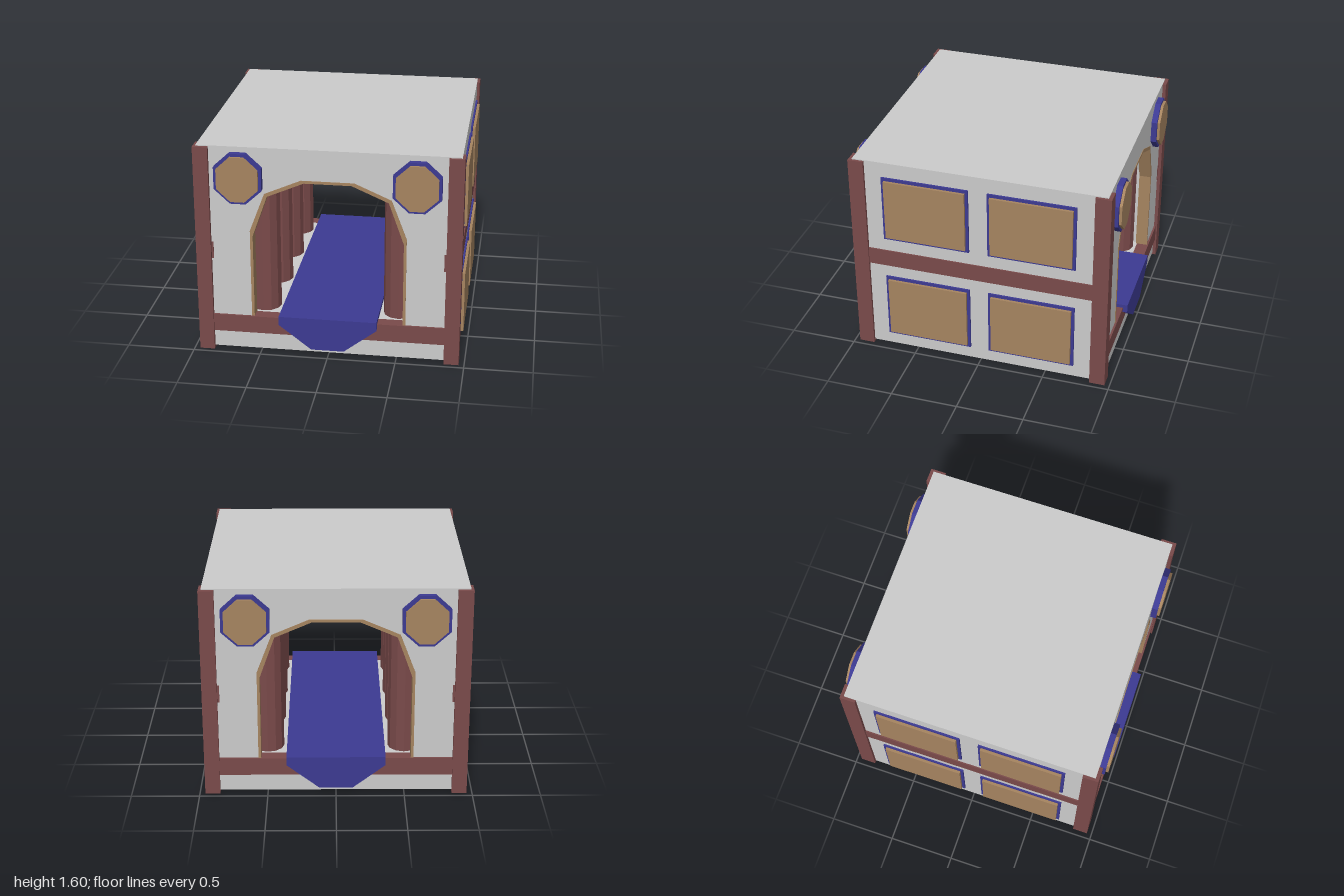
import * as THREE from 'three';

const mat = (color) => new THREE.MeshStandardMaterial({ color, flatShading: true });

export function createModel() {
  const root = new THREE.Group();
  const stone = mat(0xcccccc), wood = mat(0x7a4a4a), blue = mat(0x3c3a92), tan = mat(0xa68460);

  const add = (name, geometry, material) => {
    const mesh = new THREE.Mesh(geometry, material);
    mesh.name = name;
    root.add(mesh);
    return mesh;
  };
  // Box given by its minimum and maximum on each axis
  const box = (name, material, x0, x1, y0, y1, z0, z1) => {
    const m = add(name, new THREE.BoxGeometry(x1 - x0, y1 - y0, z1 - z0), material);
    m.position.set((x0 + x1) / 2, (y0 + y1) / 2, (z0 + z1) / 2);
    return m;
  };
  const vectors = (pts) => pts.map(([x, y]) => new THREE.Vector2(x, y));
  // Flat outline extruded from z0 to z1
  const slab = (shape, z0, z1) =>
    new THREE.ExtrudeGeometry(shape, { depth: z1 - z0, bevelEnabled: false }).translate(0, 0, z0);
  // Mirrors the right half of an outline into a full arch
  const arch = (half) => [...half, ...half.map(([x, y]) => [-x, y]).reverse()];

  // Solid body with an arched tunnel running front to back
  const outer = arch([[0.565, 0.28], [0.565, 0.96], [0.455, 1.25], [0.19, 1.365]]);
  const inner = arch([[0.545, 0.28], [0.545, 0.92], [0.435, 1.23], [0.17, 1.345]]);
  const wall = new THREE.Shape(vectors([[-0.94, 0.02], [0.94, 0.02], [0.94, 1.595], [-0.94, 1.595]]));
  wall.holes.push(new THREE.Path(vectors(outer)));
  add('body', slab(wall, -0.937, 0.937), stone);

  // Columns set into the tunnel walls
  for (const s of [-1, 1]) {
    for (const z of [-0.72, -0.24, 0.24, 0.72]) {
      const c = add('column', new THREE.CylinderGeometry(0.117, 0.117, 1.15, 12), wood);
      c.position.set(s * 0.5, 0.825, z);
    }
  }

  // Corner posts
  for (const x of [-0.905, 0.905]) {
    for (const z of [-0.905, 0.905]) {
      box('cornerPost', wood, x - 0.055, x + 0.055, 0, 1.588, z - 0.058, z + 0.058);
    }
  }

  // Runner carpet along the tunnel floor
  box('carpet', blue, -0.36, 0.36, 0.27, 0.31, -0.94, 0.94);

  const octagon = (hw, hh, fx, fy) => new THREE.Shape(vectors([
    [hw, -fy], [hw, fy], [fx, hh], [-fx, hh], [-hw, fy], [-hw, -fy], [-fx, -hh], [fx, -hh]]));
  const trim = new THREE.Shape(vectors([...outer, ...[...inner].reverse()]));
  const drape = new THREE.Shape(vectors([
    [-0.36, 0.31], [-0.36, 0.245], [-0.12, 0.06], [0.12, 0.06], [0.36, 0.245], [0.36, 0.31]]));

  // Front and back faces
  for (const turn of [0, Math.PI]) {
    const face = new THREE.Group();
    face.name = turn ? 'backFace' : 'frontFace';
    face.rotation.y = turn;
    root.add(face);
    face.add(add('archTrim', slab(trim, 0.85, 0.941), tan));
    face.add(add('carpetDrape', slab(drape, 0.935, 0.987), blue));
    face.add(box('sillBeam', wood, -0.85, 0.85, 0.15, 0.283, 0.86, 0.952));
    for (const s of [-1, 1]) {
      const frame = add('octagonFrame', slab(octagon(0.172, 0.188, 0.057, 0.082), 0.92, 0.98), blue);
      const pane = add('octagonPane', slab(octagon(0.15, 0.167, 0.05, 0.073), 0.92, 1), tan);
      for (const m of [frame, pane]) {
        m.position.set(s * 0.637, 1.367, 0);
        face.add(m);
      }
    }
  }

  // Side walls: middle beam and four framed panels each
  for (const turn of [0, Math.PI]) {
    const side = new THREE.Group();
    side.name = turn ? 'rightSide' : 'leftSide';
    side.rotation.y = turn;
    root.add(side);
    side.add(box('sideBeam', wood, 0.835, 0.95, 0.73, 0.86, -0.942, 0.942));
    for (const z of [-0.395, 0.395]) {
      for (const y of [0.377, 1.222]) {
        side.add(box('panelFrame', blue, 0.92, 0.953, y - 0.258, y + 0.258, z - 0.325, z + 0.325));
        side.add(box('panel', tan, 0.92, 0.973, y - 0.235, y + 0.235, z - 0.303, z + 0.303));
      }
    }
  }
  return root;
}
